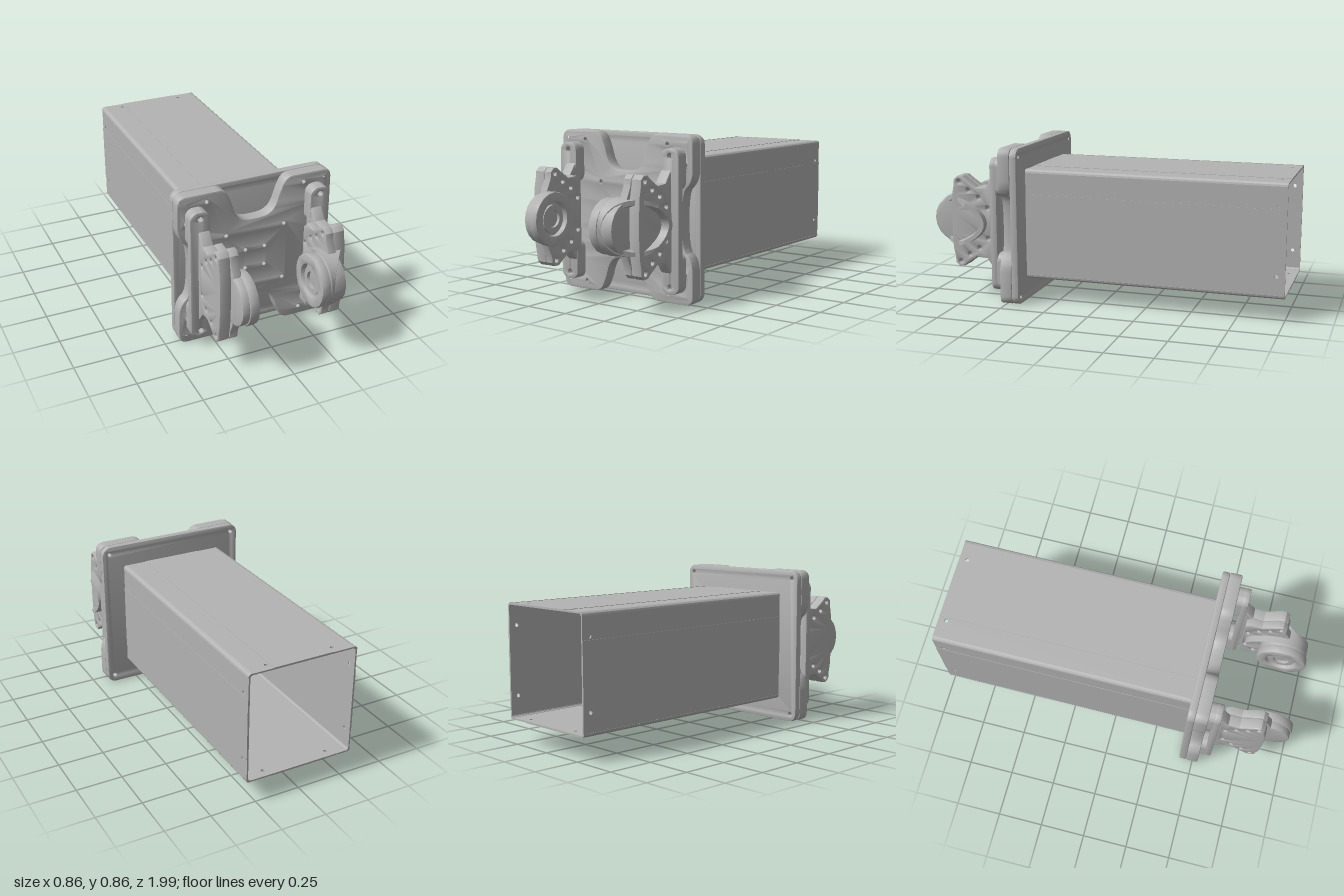
import * as THREE from 'three';
import { toCreasedNormals } from 'three/addons/utils/BufferGeometryUtils.js';

const CY = 0.432; // height of the centre line
const grey = new THREE.MeshStandardMaterial({ color: 0xb3b3b3 });
grey.name = 'grey metal';

function add(parent, name, geo, x = 0, y = 0, z = 0) {
  const mesh = new THREE.Mesh(geo, grey);
  mesh.name = name;
  mesh.position.set(x, y, z);
  parent.add(mesh);
  return mesh;
}

function extrude(shape, depth, bevel = 0) {
  const geo = new THREE.ExtrudeGeometry(shape, {
    depth: depth - 2 * bevel, bevelEnabled: bevel > 0, bevelSize: bevel,
    bevelThickness: bevel, bevelOffset: -bevel, bevelSegments: 2, curveSegments: 10,
  });
  geo.translate(0, 0, bevel);
  return toCreasedNormals(geo, 0.6);
}

// Profile drawn in (-z, y), extruded along x on side s
function sidePlate(parent, name, shape, s, x0, x1, bevel = 0) {
  const geo = extrude(shape, x1 - x0, bevel);
  geo.rotateY(Math.PI / 2);
  return add(parent, name, geo, s > 0 ? x0 : -x1, CY, 0);
}

function punch(shape, x, y, r) {
  const hole = new THREE.Path();
  hole.absarc(x, y, r, 0, Math.PI * 2, true);
  shape.holes.push(hole);
  return shape;
}

function roundRect(w, h, r) {
  const s = new THREE.Shape();
  const a = w / 2 - r, b = h / 2 - r;
  s.absarc(a, b, r, 0, Math.PI / 2);
  s.absarc(-a, b, r, Math.PI / 2, Math.PI);
  s.absarc(-a, -b, r, Math.PI, Math.PI * 1.5);
  s.absarc(a, -b, r, Math.PI * 1.5, Math.PI * 2);
  return s;
}

function disc(cx, r, hole = 0) {
  const s = new THREE.Shape();
  s.absarc(cx, 0, r, 0, Math.PI * 2);
  return hole ? punch(s, cx, 0, hole) : s;
}

const fourWays = (x, y) => [[x, y], [-x, y], [-x, -y], [x, -y]];

// Hollow square tube with drilled walls and rounded corners
function buildTube(root) {
  const tube = new THREE.Group();
  tube.name = 'tube';
  tube.position.y = CY;
  root.add(tube);
  for (let i = 0; i < 4; i++) {
    const side = new THREE.Group();
    side.name = 'tubeSide';
    side.rotation.z = i * Math.PI / 2;
    tube.add(side);
    const wall = new THREE.Shape([[-0.285, -0.43], [0.285, -0.43], [0.285, 1], [-0.285, 1]]
      .map(p => new THREE.Vector2(...p)));
    punch(punch(wall, -0.185, 0.955, 0.01), 0.185, 0.955, 0.01);
    add(side, 'wall', extrude(wall, 0.008).rotateX(-Math.PI / 2), 0, 0.295, 0);
    add(side, 'raisedStrip', new THREE.BoxGeometry(0.334, 0.003, 1.43), 0, 0.3035, -0.285);
    const corner = new THREE.Shape();
    corner.absarc(0, 0, 0.02, 0, Math.PI / 2);
    corner.absarc(0, 0, 0.008, Math.PI / 2, 0, true);
    add(side, 'roundedCorner', extrude(corner, 1.43), 0.285, 0.285, -1);
  }
}

// Square base plate, notched front plate and sunken bolts
function buildPlates(root) {
  const corners = fourWays(0.389, 0.387);
  const base = roundRect(0.86, 0.86, 0.05);
  corners.forEach(([x, y]) => punch(base, x, y, 0.011));
  add(root, 'basePlate', extrude(base, 0.04, 0.006), 0, CY, 0.422);

  const q = new THREE.Path();
  q.moveTo(0, 0.23).lineTo(0.03, 0.23);
  q.bezierCurveTo(0.13, 0.235, 0.12, 0.33, 0.145, 0.37);
  q.quadraticCurveTo(0.165, 0.43, 0.21, 0.43);
  q.lineTo(0.38, 0.43).quadraticCurveTo(0.43, 0.43, 0.43, 0.38);
  q.lineTo(0.43, 0.25).quadraticCurveTo(0.425, 0.19, 0.39, 0.165);
  q.quadraticCurveTo(0.365, 0.14, 0.365, 0);
  const quarter = q.getPoints(10);
  const half = [...quarter, ...quarter.slice(0, -1).reverse().map(p => new THREE.Vector2(p.x, -p.y))];
  const left = half.slice(1, -1).reverse().map(p => new THREE.Vector2(-p.x, p.y));
  const front = new THREE.Shape([...half, ...left]);
  corners.forEach(([x, y]) => punch(front, x, y, 0.011));
  const bolts = [[0.272, 0.382], [0.165, 0.163], [0.055, 0.055], [0.385, 0.28]]
    .flatMap(([x, y]) => fourWays(x, y));
  bolts.forEach(([x, y]) => punch(front, x, y, 0.023));
  add(root, 'notchedPlate', extrude(front, 0.068, 0.007), 0, CY, 0.462);

  const hex = new THREE.Shape();
  for (let i = 0; i < 6; i++) {
    const a = i * Math.PI / 3 + 0.3;
    hex[i ? 'lineTo' : 'moveTo'](0.021 * Math.cos(a), 0.021 * Math.sin(a));
  }
  punch(hex, 0, 0, 0.011);
  const head = extrude(hex, 0.066);
  bolts.forEach(([x, y]) => add(root, 'bolt', head, x, y + CY, 0.462));
}

// Scoop-shaped cup: loops from outer foot over the slanted rim to the floor
function cupGeometry() {
  const n = 32, pos = [], idx = [];
  const rimX = z => 0.385 - Math.max(0, z - 0.76) * 0.76;
  const loops = [[1, () => 0.2], [0.96, rimX], [0.8, rimX], [0.58, () => 0.235], [0, () => 0.235]];
  loops.forEach(([k, fx]) => {
    for (let i = 0; i < n; i++) {
      const t = i / n * Math.PI * 2, c = Math.cos(t);
      const z = 0.81 + 0.18 * k * c;
      const y = 0.14 * k * Math.sin(t) * (1 + 0.22 * c);
      pos.push(fx(z), y, z);
    }
  });
  for (let l = 0; l < loops.length - 1; l++) {
    for (let i = 0; i < n; i++) {
      const a = l * n + i, b = l * n + (i + 1) % n;
      idx.push(a, a + n, b, b, a + n, b + n);
    }
  }
  const geo = new THREE.BufferGeometry();
  geo.setAttribute('position', new THREE.Float32BufferAttribute(pos, 3));
  geo.setIndex(idx);
  return toCreasedNormals(geo, 0.5);
}

// Star-shaped bracket outline, symmetric about the centre line
function starShape(points, holes) {
  const all = [...points, ...points.slice().reverse().map(([z, y]) => [z, -y])];
  const s = new THREE.Shape(all.map(([z, y]) => new THREE.Vector2(-z, y)));
  holes.forEach(([z, y]) => {
    punch(s, -z, y, 0.012);
    punch(s, -z, -y, 0.012);
  });
  return s;
}

function buildBracket(root, s) {
  const g = new THREE.Group();
  g.name = s > 0 ? 'leftBracket' : 'rightBracket';
  root.add(g);

  // Mounting rail: two feet bridged by a bar
  const bar = roundRect(0.11, 0.735, 0.045);
  punch(punch(bar, 0, 0.33, 0.014), 0, -0.33, 0.014);
  add(g, 'railBar', extrude(bar, 0.037, 0.005), s * 0.335, CY, 0.558);
  for (const k of [1, -1]) {
    add(g, 'railFoot', extrude(roundRect(0.11, 0.21, 0.045), 0.036), s * 0.335, CY + k * 0.2625, 0.527);
  }

  // Drilled outer and inner star plates
  const drill = [[0.632, 0.085], [0.685, 0.142], [0.745, 0.18], [0.8, 0.225]];
  const arm = [[0.64, 0.2], [0.7, 0.195], [0.755, 0.232], [0.782, 0.254], [0.81, 0.255],
    [0.832, 0.235], [0.835, 0.2]];
  const outer = starShape([[0.58, 0.27], [0.605, 0.25], ...arm, [0.845, 0.15], [0.85, 0.06]], drill);
  sidePlate(g, 'outerStarPlate', outer, s, 0.283, 0.346, 0.008);
  const inner = starShape([[0.61, 0.17], ...arm, [0.86, 0.15], [0.88, 0.06]], drill);
  sidePlate(g, 'innerStarPlate', inner, s, 0.237, 0.283, 0.005);

  // Round hub with a stepped socket facing inwards
  const face = s > 0 ? 0.145 : 0.195;
  sidePlate(g, 'hubDisc', disc(-0.85, 0.132), s, face + 0.03, 0.283, 0.006);
  sidePlate(g, 'hubRim', disc(-0.85, 0.14, 0.088), s, face, face + 0.05, 0.006);
  sidePlate(g, 'hubRing', disc(-0.85, 0.072, 0.045), s, face + 0.014, face + 0.04);
}

// Cup with a five-sided hub, on one bracket only
function buildCup(root) {
  add(root, 'cup', cupGeometry(), 0, CY, 0);
  const nut = new THREE.CylinderGeometry(0.05, 0.065, 0.05, 5).toNonIndexed();
  nut.computeVertexNormals();
  nut.rotateZ(-Math.PI / 2);
  add(root, 'cupHub', nut, 0.25, CY, 0.82);
  for (const [x, y] of fourWays(0.05, 0.065)) {
    const pin = new THREE.CylinderGeometry(0.012, 0.012, 0.03, 8).rotateZ(Math.PI / 2);
    add(root, 'cupPin', pin, 0.25, CY + y, 0.81 + x);
  }
}

export function createModel() {
  const root = new THREE.Group();
  root.name = 'tubeMount';
  buildTube(root);
  buildPlates(root);
  buildBracket(root, 1);
  buildBracket(root, -1);
  buildCup(root);
  return root;
}
